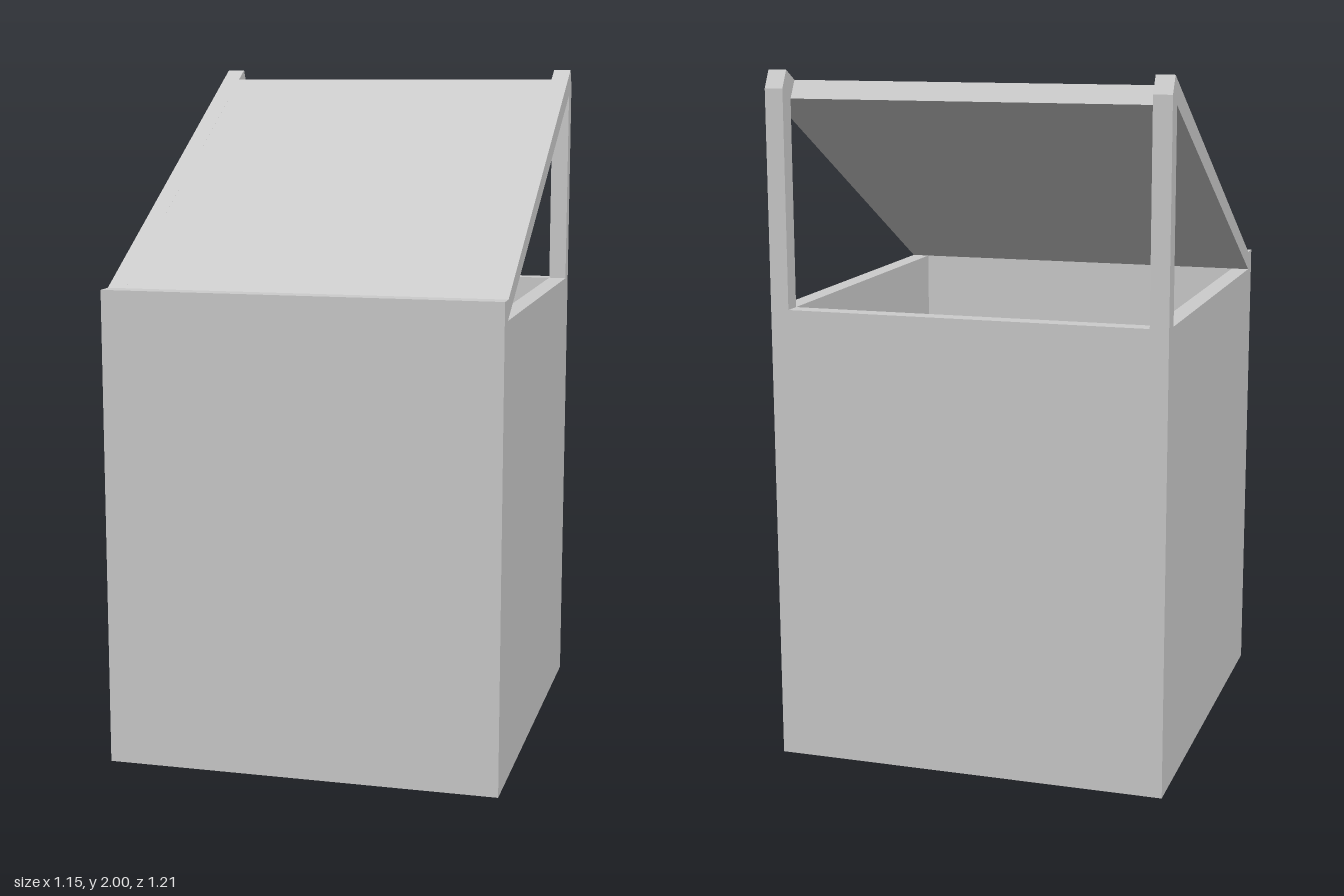
import * as THREE from 'three';

const HALF_W = 0.575;   // half width in x
const INNER_W = 0.522;  // half width between the side frames

const toPoints = (list) => list.map(([z, y]) => new THREE.Vector2(z, y));

// Extrudes a side profile, given as [z, y] points, from x0 to x1.
function extrudeAcross(name, profile, x0, x1, hole) {
  const shape = new THREE.Shape(toPoints(profile));
  if (hole) shape.holes.push(new THREE.Path(toPoints(hole)));
  const geometry = new THREE.ExtrudeGeometry(shape, { depth: x1 - x0, bevelEnabled: false });
  geometry.rotateY(-Math.PI / 2).translate(x1, 0, 0);
  const mesh = new THREE.Mesh(geometry, new THREE.MeshStandardMaterial({ color: 0xcccccc }));
  mesh.name = name;
  return mesh;
}

export function createModel() {
  const group = new THREE.Group();
  group.name = 'boxWithSlantedRoof';

  // Side frames: wall, rear post and sloping rafter around a triangular opening
  const frame = [[0.605, 0], [0.605, 1.39], [0.55, 1.39], [-0.577, 2], [-0.605, 1.95], [-0.605, 0]];
  const opening = [[0.555, 1.333], [-0.552, 1.333], [-0.552, 1.92]];
  group.add(extrudeAcross('leftSideFrame', frame, INNER_W, HALF_W, opening));
  group.add(extrudeAcross('rightSideFrame', frame, -HALF_W, -INNER_W, opening));

  // Base with a shallow tray, a low rear wall and a taller front lip
  const base = [
    [0.605, 0], [0.605, 1.39], [0.55, 1.39], [0.555, 1.333], [0.552, 1.06],
    [-0.552, 1.06], [-0.552, 1.333], [-0.605, 1.333], [-0.605, 0],
  ];
  group.add(extrudeAcross('trayBase', base, -INNER_W, INNER_W));

  // Sloping roof panel, stopping short of the post tips
  const roof = [[0.555, 1.333], [0.55, 1.39], [-0.522, 1.97], [-0.552, 1.92]];
  group.add(extrudeAcross('roofPanel', roof, -INNER_W, INNER_W));

  return group;
}
